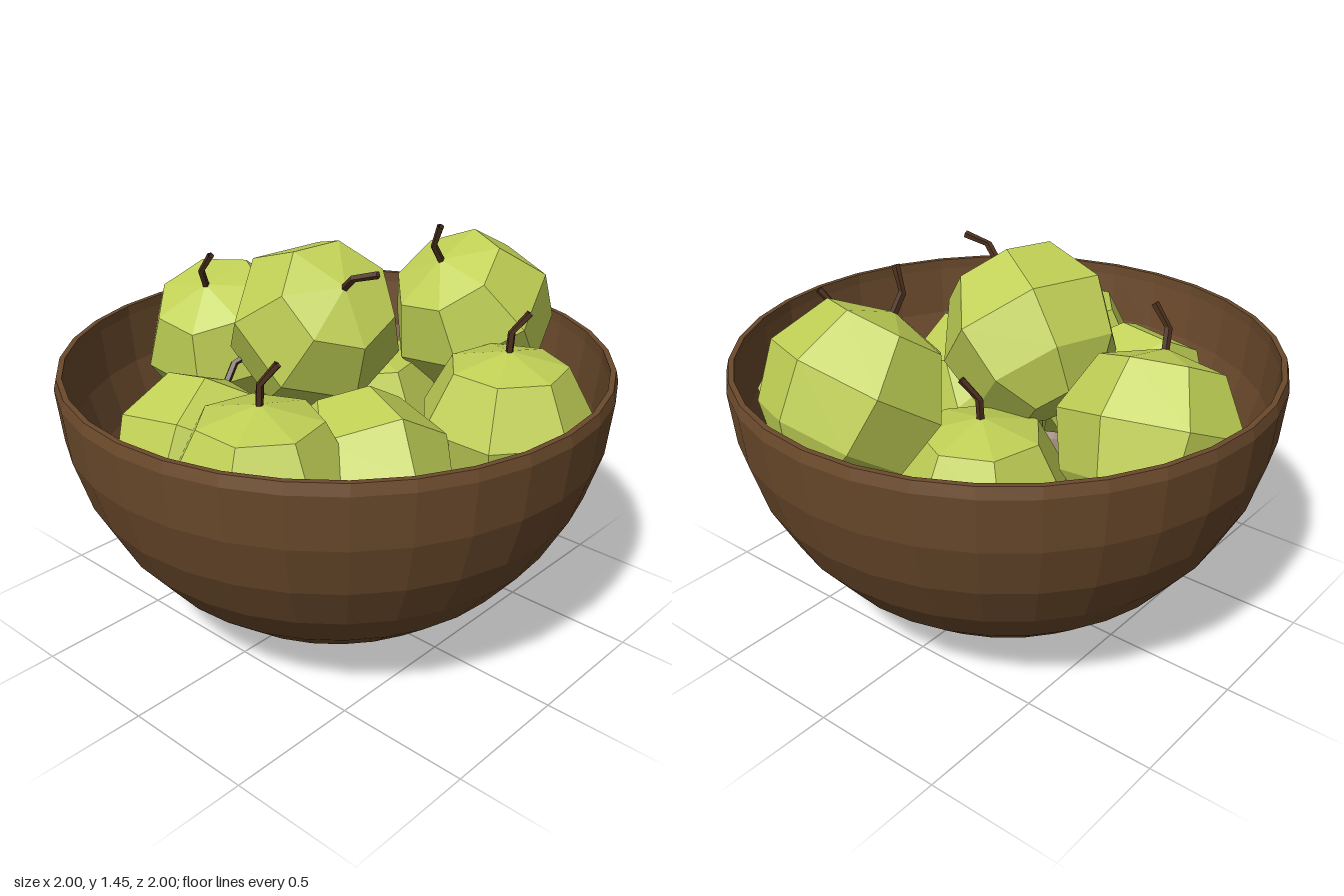
import * as THREE from 'three';

const material = (color, side = THREE.FrontSide) =>
  new THREE.MeshStandardMaterial({ color, side, flatShading: true });

const points = (list) => list.map(([x, y]) => new THREE.Vector2(x, y));

// Hemispherical bowl with a short bevelled rim and a thin wall
function makeBowl() {
  const rows = 8, inner = 0.97, profile = [];
  for (let i = 0; i <= rows; i++) {
    const a = (i / rows) * Math.PI / 2;
    profile.push([Math.sin(a), 1 - Math.cos(a)]);
  }
  profile.push([0.99, 1.04], [inner, 1.04]);
  for (let i = rows; i >= 0; i--) {
    const a = (i / rows) * Math.PI / 2;
    profile.push([inner * Math.sin(a), 1 - inner * Math.cos(a)]);
  }
  profile[0][0] = profile[profile.length - 1][0] = 0;
  const bowl = new THREE.Mesh(new THREE.LatheGeometry(points(profile), 32), material(0x6b4a2c));
  bowl.name = 'bowl';
  return bowl;
}

// Seven-sided apple body, slightly tapered towards the bottom
const appleGeometry = new THREE.LatheGeometry(points([
  [0, -0.29], [0.15, -0.275], [0.275, -0.15], [0.322, 0.05], [0.215, 0.25], [0, 0.305],
]), 7, Math.PI);

// Stem with a single bend
const stemPath = new THREE.CatmullRomCurve3([
  new THREE.Vector3(0, 0.28, 0),
  new THREE.Vector3(0.004, 0.375, -0.003),
  new THREE.Vector3(0.05, 0.445, -0.04),
], false, 'catmullrom', 0);
const stemGeometry = new THREE.TubeGeometry(stemPath, 2, 0.014, 5);

// Centre of each apple and the direction its stem points
const apples = [
  { at: [0.52, 0.79, -0.33], axis: [0, 1, 0] },
  { at: [0.16, 0.765, 0.54], axis: [0, 1, 0] },
  { at: [-0.16, 0.64, -0.34], axis: [0, 1, 0] },
  { at: [-0.65, 0.91, -0.06], axis: [0.04, 0.28, 0.14] },
  { at: [-0.11, 1.12, 0.0], axis: [0.23, 0.23, 0.07] },
  { at: [0.13, 1.05, -0.64], axis: [-0.04, 0.27, 0.18] },
  { at: [-0.23, 0.71, 0.47], axis: [-0.05, 0.25, -0.2] },
  { at: [0.31, 0.71, 0.19], axis: [-0.25, 0.2, -0.12] },
];

export function createModel() {
  const model = new THREE.Group();
  model.name = 'bowlOfApples';
  model.add(makeBowl());

  const skin = material(0xc0d055);
  const wood = material(0x4a2e1c, THREE.DoubleSide);
  const up = new THREE.Vector3(0, 1, 0);
  apples.forEach(({ at, axis }, i) => {
    const apple = new THREE.Group();
    apple.name = `apple${i + 1}`;
    const body = new THREE.Mesh(appleGeometry, skin);
    body.name = 'appleBody';
    const stem = new THREE.Mesh(stemGeometry, wood);
    stem.name = 'appleStem';
    apple.add(body, stem);
    apple.position.set(...at);
    apple.quaternion.setFromUnitVectors(up, new THREE.Vector3(...axis).normalize());
    model.add(apple);
  });
  return model;
}
